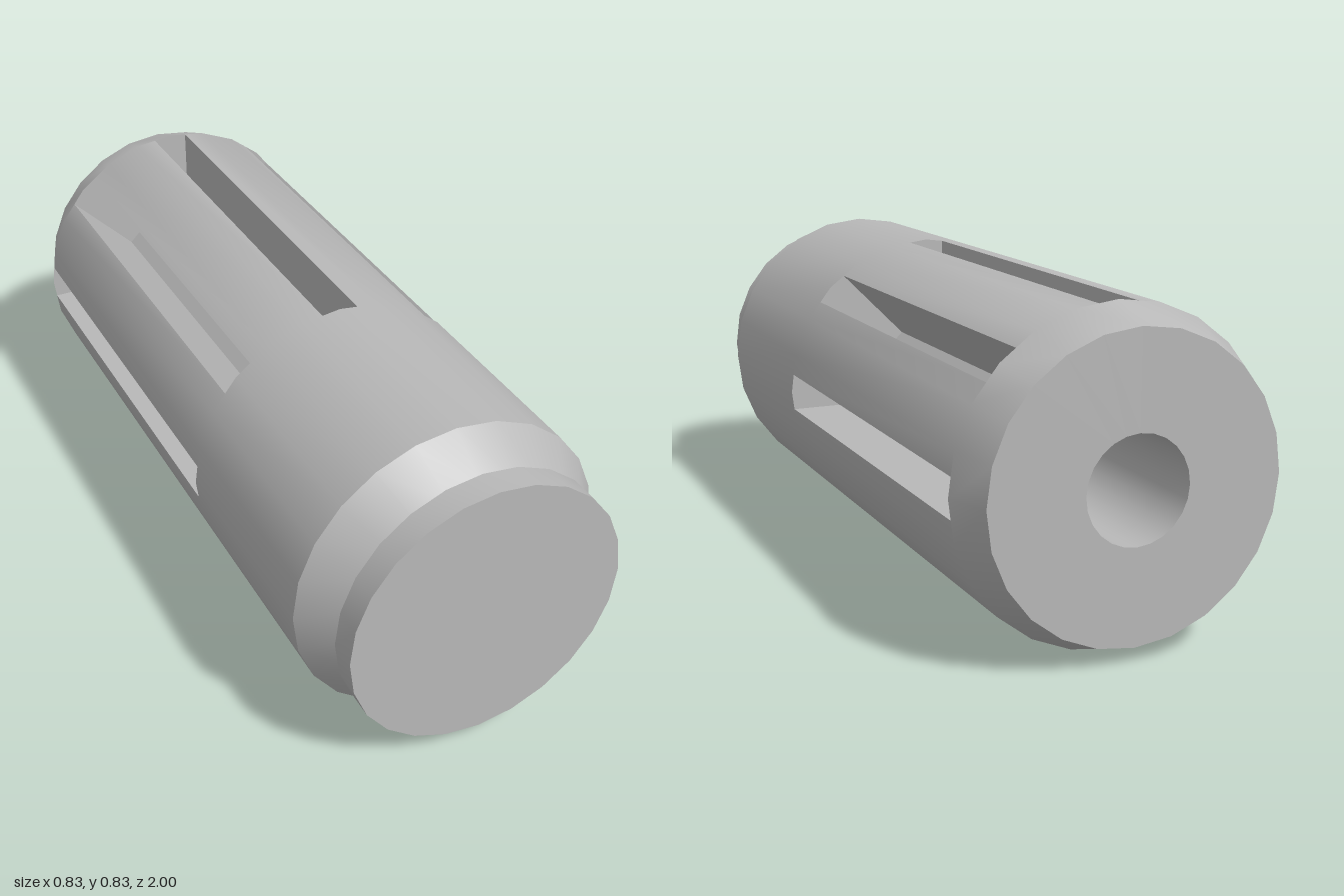
import * as THREE from 'three';
import { mergeGeometries, toCreasedNormals } from 'three/addons/utils/BufferGeometryUtils.js';

const SIDES = 24;
const R = 0.414;          // body radius
const BORE = 0.132;       // rear hole radius
const SLOT_FRONT = 0.24, SLOT_BACK = -0.89;
const SLOT_HALF = 0.05, SLOT_FLOOR = 0.16;
const CREASE = 0.5;

// Turned solid along z from [radius, z] pairs
function turned(profile) {
  const g = new THREE.LatheGeometry(profile.map(([r, z]) => new THREE.Vector2(r, z)), SIDES);
  return g.rotateX(Math.PI / 2).toNonIndexed();
}

// 24-sided section with five slots cut into its upper half, and a bore
function slottedSection() {
  const lip = R - SLOT_HALF * Math.tan(Math.PI / SIDES);
  const points = [];
  for (let i = 0; i < SIDES; i++) {
    const a = (i / SIDES) * Math.PI * 2;
    const at = (r, t) => new THREE.Vector2(r * Math.cos(a) - t * Math.sin(a), r * Math.sin(a) + t * Math.cos(a));
    if (i % 3 === 0 && i <= SIDES / 2) {
      points.push(at(lip, -SLOT_HALF), at(SLOT_FLOOR, -SLOT_HALF), at(SLOT_FLOOR, SLOT_HALF), at(lip, SLOT_HALF));
    } else {
      points.push(at(R, 0));
    }
  }
  const shape = new THREE.Shape(points);
  const hole = [];
  for (let i = 0; i < SIDES; i++) {
    const a = (-i / SIDES) * Math.PI * 2;
    hole.push(new THREE.Vector2(BORE * Math.cos(a), BORE * Math.sin(a)));
  }
  shape.holes.push(new THREE.Path(hole));
  const g = new THREE.ExtrudeGeometry(shape, { depth: SLOT_FRONT - SLOT_BACK, bevelEnabled: false });
  g.translate(0, 0, SLOT_BACK);
  return g.index ? g.toNonIndexed() : g;
}

export function createModel() {
  const model = new THREE.Group();
  model.name = 'slottedCylinder';
  const metal = new THREE.MeshStandardMaterial({ color: 0xb8b8b8 });
  metal.name = 'grey';

  const add = (name, geometry) => {
    const mesh = new THREE.Mesh(toCreasedNormals(geometry, CREASE), metal);
    mesh.name = name;
    mesh.position.y = R;
    model.add(mesh);
  };

  // Body: solid chamfered front, slotted middle, tapered rear with bore
  const front = turned([[0, SLOT_FRONT], [R, SLOT_FRONT], [R, 0.81], [0.33, 0.925], [0, 0.925]]);
  const rear = turned([[BORE, SLOT_BACK], [BORE, -1], [0.372, -1], [R, SLOT_BACK], [BORE, SLOT_BACK]]);
  add('body', mergeGeometries([front, slottedSection(), rear]));

  // Flat disc on the front end
  add('frontDisc', turned([[0, 0.927], [0.365, 0.927], [0.365, 1], [0, 1]]));

  return model;
}
